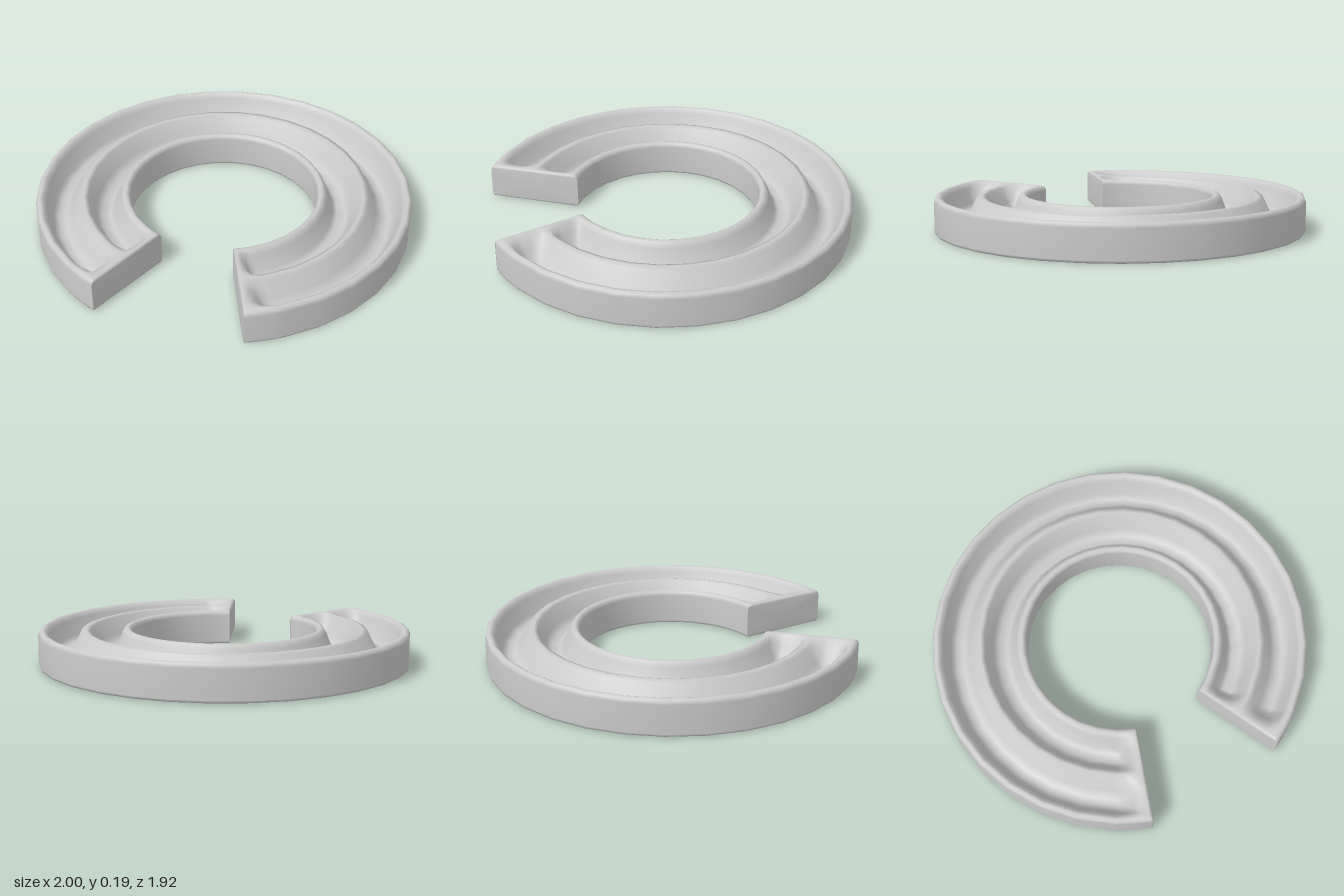
import * as THREE from 'three';

const CENTRE_Z = 0.038;
const STEP = Math.PI / 16; // 28 steps make the open ring
const START = STEP * 2;

// Grooved top, from the outer rim to the inner rim: [radius, depth below the rim]
const TOP = [
  [0.978, 0], [0.962, 0.006], [0.945, 0.03], [0.915, 0.115], [0.885, 0.135], [0.85, 0.135],
  [0.815, 0.1], [0.772, 0.014], [0.745, 0.006], [0.722, 0.014],
  [0.685, 0.1], [0.655, 0.135], [0.61, 0.135], [0.585, 0.115], [0.553, 0.03], [0.538, 0.006], [0.522, 0],
];

// Closed cross-section [radius, y], with the grooves scaled by k and top and bottom drawn in by inset
function crossSection(k, inset) {
  const points = [
    [0.515, 0], [0.985, 0], [0.996, 0.004], [1, 0.016], [1, 0.168], [0.993, 0.187],
    ...TOP.map(([r, d]) => [r, 0.195 - d * k]),
    [0.507, 0.187], [0.5, 0.168], [0.5, 0.016], [0.504, 0.004],
  ];
  return points.map(([r, y]) => [r, THREE.MathUtils.clamp(y, inset, 0.195 - inset)]);
}

// Sections along the ring: [angle, groove scale, inset]; grooves close towards both ends
function stations() {
  const end = [[0, 0, 0.014], [0.006, 0, 0.005], [0.018, 0, 0], [0.055, 0.04, 0],
    [0.1, 0.4, 0], [0.15, 0.88, 0], [STEP, 1, 0]];
  const list = end.map(([a, k, s]) => [START + a, k, s]);
  for (let i = 2; i < 27; i++) list.push([START + i * STEP, 1, 0]);
  for (const [a, k, s] of end.slice().reverse()) list.push([Math.PI * 2 - START - a, k, s]);
  return list;
}

function ringGeometry() {
  const positions = [];
  const index = [];
  const list = stations();
  const n = crossSection(1, 0).length;
  const put = (r, y, a) => positions.push(r * Math.sin(a), y, CENTRE_Z + r * Math.cos(a));

  for (const [a, k, inset] of list) {
    for (const [r, y] of crossSection(k, inset)) put(r, y, a);
  }
  for (let i = 0; i < list.length - 1; i++) {
    for (let j = 0; j < n; j++) {
      const a = i * n + j;
      const b = i * n + (j + 1) % n;
      index.push(a, a + n, b, b, a + n, b + n);
    }
  }

  // Flat end faces
  const last = list.length - 1;
  const centre = list.length * n;
  put(0.75, 0.1, list[0][0]);
  put(0.75, 0.1, list[last][0]);
  for (let j = 0; j < n; j++) {
    const next = (j + 1) % n;
    index.push(centre, j, next);
    index.push(centre + 1, last * n + next, last * n + j);
  }

  const geometry = new THREE.BufferGeometry();
  geometry.setAttribute('position', new THREE.Float32BufferAttribute(positions, 3));
  geometry.setIndex(index);
  geometry.computeVertexNormals();
  return geometry;
}

export function createModel() {
  const group = new THREE.Group();
  group.name = 'openRingTray';
  const tray = new THREE.Mesh(ringGeometry(), new THREE.MeshStandardMaterial({ color: 0xcccccc }));
  tray.name = 'groovedRing';
  group.add(tray);
  return group;
}
